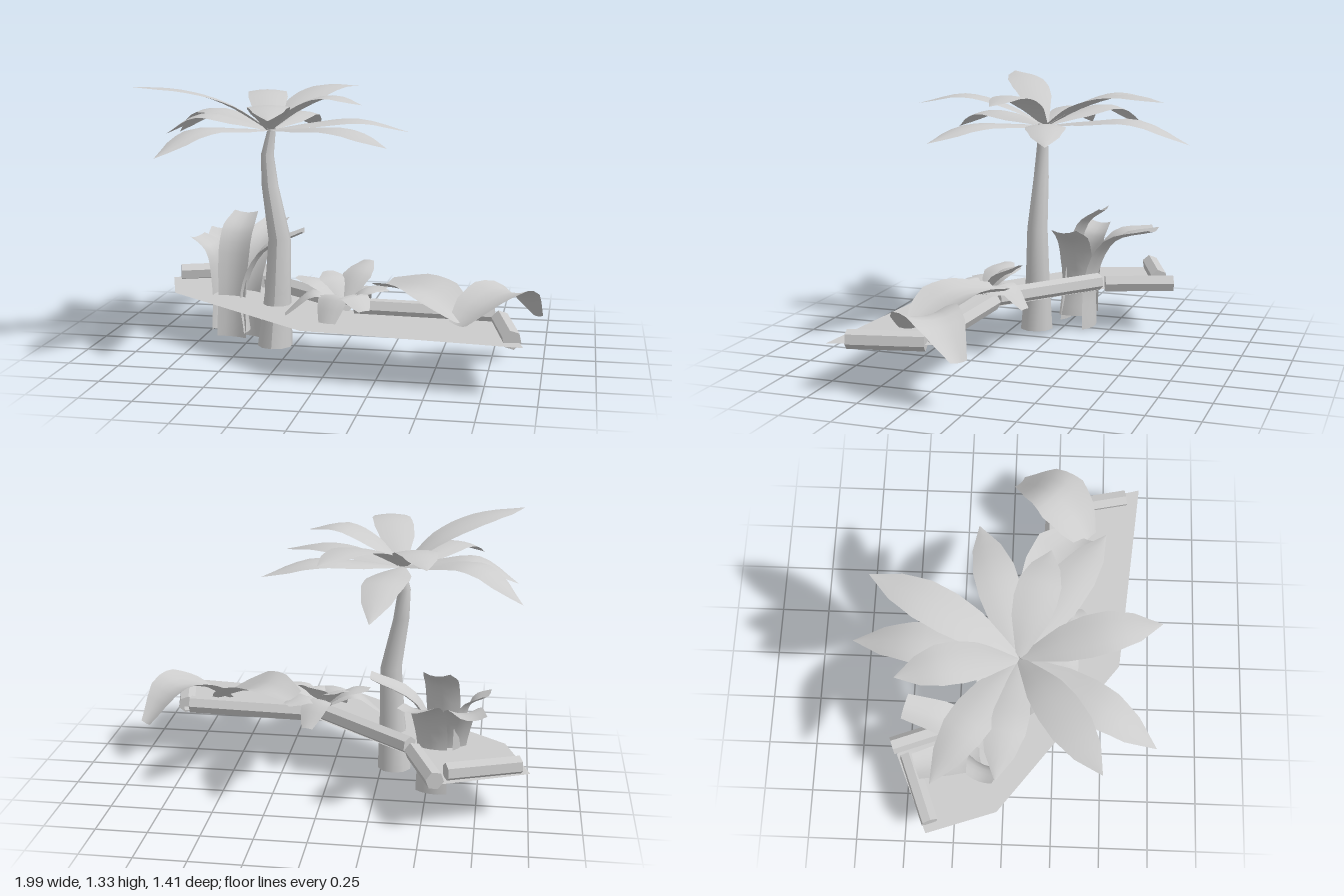
import * as THREE from 'three';

const material = new THREE.MeshStandardMaterial({ color: 0xcccccc, side: THREE.DoubleSide });
const V = ([x, y, z]) => new THREE.Vector3(x, y, z);

// Leaf blade: a curved spine with a width profile; edges drop by `fold` of the half width (negative cups up)
function leaf(name, spine, widths, fold, rows = 12, cols = 4) {
  const pts = spine.map(V);
  const curve = new THREE.CatmullRomCurve3(pts);
  const run = pts[pts.length - 1].clone().sub(pts[0]).setY(0).normalize();
  const side = new THREE.Vector3(run.z, 0, -run.x);
  const pos = [], index = [];
  for (let i = 0; i <= rows; i++) {
    const t = i / rows;
    const f = t * (widths.length - 1), k = Math.min(Math.floor(f), widths.length - 2);
    const half = THREE.MathUtils.lerp(widths[k], widths[k + 1], f - k) / 2;
    const p = curve.getPoint(t);
    const normal = curve.getTangent(t).cross(side).normalize();
    for (let j = 0; j <= cols; j++) {
      const s = (j / cols) * 2 - 1;
      const q = p.clone().addScaledVector(side, s * half).addScaledVector(normal, -fold * half * s * s);
      pos.push(q.x, q.y, q.z);
      if (i < rows && j < cols) {
        const a = i * (cols + 1) + j, b = a + cols + 1;
        index.push(a, a + 1, b, a + 1, b + 1, b);
      }
    }
  }
  const geo = new THREE.BufferGeometry();
  geo.setAttribute('position', new THREE.Float32BufferAttribute(pos, 3));
  geo.setIndex(index);
  geo.computeVertexNormals();
  const mesh = new THREE.Mesh(geo, material);
  mesh.name = name;
  return mesh;
}

// Six-sided log between two end points
function log(a, b, radius = 0.045) {
  const p = V(a), q = V(b), dir = q.clone().sub(p);
  const geo = new THREE.CylinderGeometry(radius, radius, dir.length(), 6);
  const flat = material.clone();
  flat.flatShading = true;
  const mesh = new THREE.Mesh(geo, flat);
  mesh.quaternion.setFromUnitVectors(new THREE.Vector3(0, 1, 0), dir.normalize());
  mesh.position.copy(p.add(q).multiplyScalar(0.5));
  mesh.name = 'borderLog';
  return mesh;
}

// Trunk: stacked rings following a slight bend
function trunk() {
  const rings = [ // x, y, z, radius
    [-0.322, 0.05, 0.1, 0.087], [-0.308, 0.32, 0.09, 0.065], [-0.298, 0.59, 0.088, 0.055],
    [-0.345, 0.85, 0.083, 0.041], [-0.358, 1.0, 0.08, 0.032], [-0.335, 1.13, 0.077, 0.02],
  ];
  const geo = new THREE.CylinderGeometry(1, 1, 1, 10, rings.length - 1, true);
  const p = geo.attributes.position;
  for (let i = 0; i < p.count; i++) {
    const [x, y, z, r] = rings[Math.round((p.getY(i) + 0.5) * (rings.length - 1))];
    p.setXYZ(i, x + p.getX(i) * r, y, z + p.getZ(i) * r);
  }
  geo.computeVertexNormals();
  const mesh = new THREE.Mesh(geo, material);
  mesh.name = 'palmTrunk';
  return mesh;
}

export function createModel() {
  const model = new THREE.Group();
  const addGroup = (name, parts) => {
    const g = new THREE.Group();
    g.name = name;
    g.add(...parts);
    model.add(g);
  };

  // Flat ground patch
  const outline = [[-1, -0.38], [-0.88, -0.03], [-0.09, 0.58], [0.93, 0.68], [0.8, 0.2],
    [0.09, 0.17], [-0.43, -0.24], [-0.6, -0.55]];
  const shape = new THREE.Shape(outline.map(([x, z]) => new THREE.Vector2(x, -z)));
  const ground = new THREE.Mesh(new THREE.ShapeGeometry(shape).rotateX(-Math.PI / 2), material);
  ground.position.y = 0.26;
  ground.name = 'groundPatch';
  model.add(ground);

  // Logs along the back and the ends
  addGroup('logBorder', [
    log([-0.95, 0.295, -0.36], [-0.61, 0.295, -0.49]),
    log([-0.565, 0.285, -0.575], [-0.44, 0.285, -0.24]),
    log([-0.42, 0.3, -0.21], [0.06, 0.3, 0.18]),
    log([0.1, 0.287, 0.19], [0.77, 0.287, 0.22]),
    log([0.875, 0.272, 0.605], [0.8, 0.272, 0.25]),
  ]);

  // Palm: tip position and height of the arch before it
  const core = [-0.35, 1.12, 0.06];
  const tips = [
    [-0.27, 1.06, -0.71, 1.17], [-0.03, 1.29, -0.63, 1.31], [0.31, 1.1, -0.15, 1.17],
    [0.29, 1.09, 0.45, 1.16], [-0.2, 1.23, 0.7, 1.28], [-0.73, 1.05, 0.69, 1.16],
    [-0.93, 1.35, 0.43, 1.33], [-0.91, 1.08, -0.03, 1.19], [-0.93, 1.06, -0.32, 1.2],
    [-0.5, 1.25, -0.49, 1.29], [0.13, 1.26, 0.19, 1.3],
  ];
  const fronds = tips.map(([x, y, z, arch]) => {
    const at = (t, h) => [core[0] + (x - core[0]) * t, h, core[2] + (z - core[2]) * t];
    const spine = [core, at(0.3, 1.12 + (arch - 1.12) * 0.65), at(0.64, arch), [x, y, z]];
    return leaf('palmFrond', spine, [0.03, 0.1, 0.17, 0.2, 0.195, 0.135, 0], y < 1.2 ? 0.16 : 0.1);
  });
  addGroup('palmTree', [trunk(), ...fronds]);

  // Tall strap-leaved plant behind the palm, its leaves rising from a boxy base
  const straps = [
    [[-0.61, 0.07, -0.1], [-0.63, 0.3, -0.13], [-0.67, 0.49, -0.24], [-0.73, 0.53, -0.43]],
    [[-0.57, 0.05, -0.01], [-0.57, 0.35, -0.04], [-0.56, 0.57, -0.1], [-0.54, 0.66, -0.21]],
    [[-0.49, 0.08, -0.05], [-0.51, 0.28, -0.06], [-0.42, 0.48, -0.07], [-0.21, 0.59, -0.08]],
    [[-0.52, 0.02, -0.15], [-0.52, 0.3, -0.16], [-0.49, 0.5, -0.27], [-0.44, 0.58, -0.5]],
    [[-0.67, 0.08, -0.08], [-0.67, 0.3, -0.09], [-0.7, 0.48, -0.1], [-0.79, 0.54, -0.12]],
  ];
  addGroup('tallPlant', straps.map((s) => leaf('strapLeaf', s, [0.16, 0.15, 0.17, 0.17, 0.13], -0.25)));

  // Low spiky plant in the middle
  const heart = [0.05, 0.31, 0.25];
  const spikes = [[0.14, 0.49, 0.04], [0.27, 0.41, 0.28], [0, 0.23, 0.45], [-0.18, 0.43, 0.2],
    [-0.22, 0.27, 0.32], [0.12, 0.27, 0.01], [0.18, 0.32, 0.4], [-0.05, 0.44, 0.1], [0.24, 0.36, 0.1]];
  addGroup('lowPlant', spikes.map((tip) => {
    const mid = heart.map((c, i) => c + (tip[i] - c) * 0.5);
    mid[1] = Math.max(mid[1] + 0.04, 0.38);
    return leaf('spikyLeaf', [heart, mid, tip], [0.04, 0.12, 0.16, 0.13, 0.06], 0.15, 8);
  }));

  // Two broad arching leaves at the far end, cupped upward
  addGroup('broadPlant', [
    leaf('broadLeaf', [[0.63, 0.28, 0.37], [0.54, 0.33, 0.32], [0.4, 0.39, 0.23], [0.22, 0.38, 0.11]],
      [0.14, 0.26, 0.35, 0.3, 0.17], -0.3),
    leaf('broadLeaf', [[0.62, 0.27, 0.4], [0.73, 0.36, 0.31], [0.85, 0.39, 0.19], [0.96, 0.24, 0.03]],
      [0.12, 0.25, 0.31, 0.24, 0.08], -0.25),
  ]);

  return model;
}
